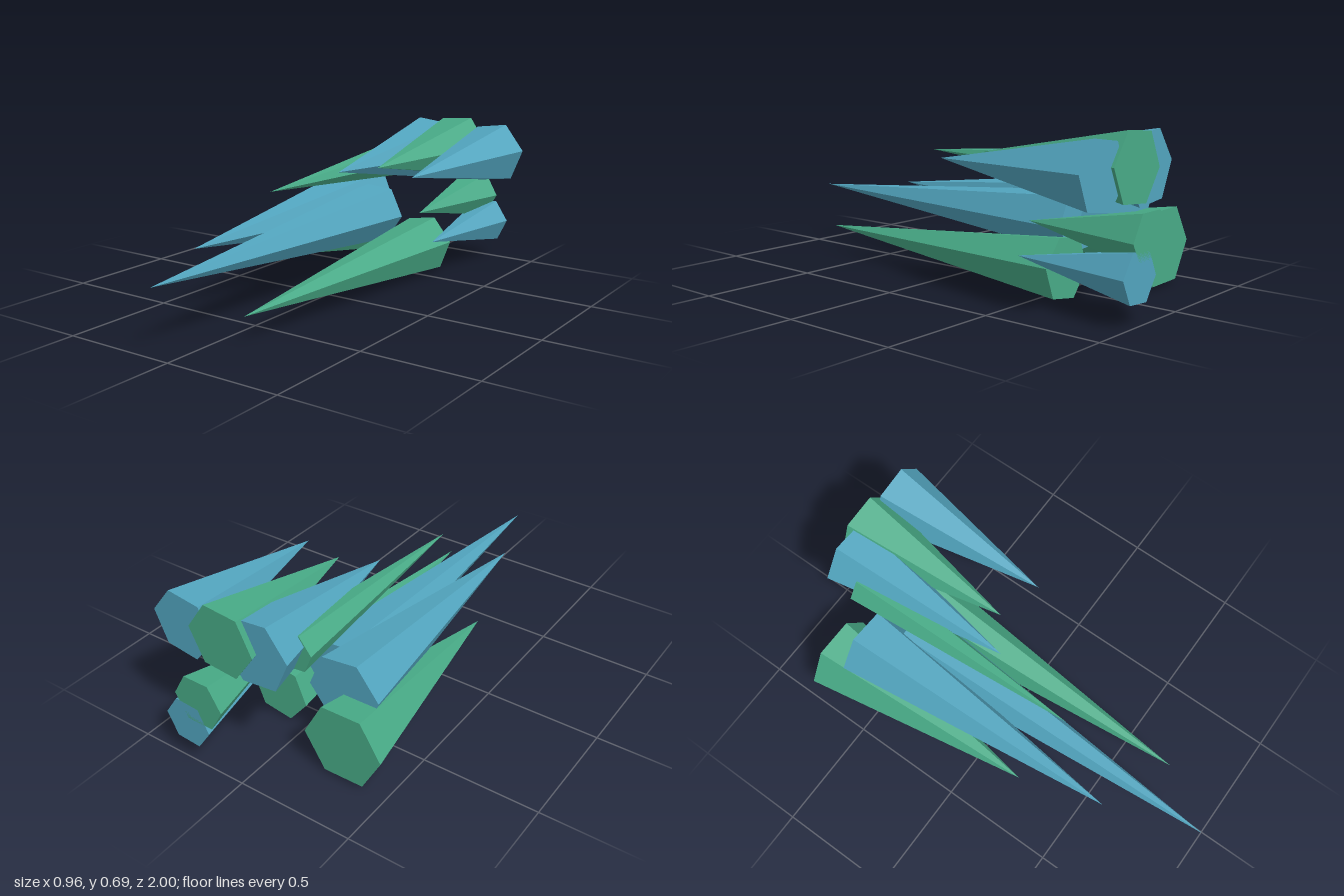
import * as THREE from 'three';

// One six-sided spike: tip towards +z, flat base behind, turned about its axis by turn degrees.
function spikeGeometry(radius, length, turn) {
  const g = new THREE.ConeGeometry(radius, length, 6, 1);
  g.rotateX(Math.PI / 2);
  g.rotateZ(THREE.MathUtils.degToRad(turn - 30));
  return g;
}

export function createModel() {
  const model = new THREE.Group();
  model.name = 'spikeCluster';

  const blue = new THREE.MeshStandardMaterial({ color: 0x52a5bf, flatShading: true });
  blue.name = 'blue';
  const green = new THREE.MeshStandardMaterial({ color: 0x48ab87, flatShading: true });
  green.name = 'green';

  // name, material, x, y, radius, tip z, base z, turn of a corner from +x
  const spikes = [
    ['lowerRightSpike', green, -0.305, 0.168, 0.176, 0.23, -0.77, -1],
    ['middleRightSpike', blue, -0.225, 0.305, 0.163, 0.60, -0.645, 53],
    ['longestSpike', blue, -0.075, 0.272, 0.137, 1.00, -0.51, -4],
    ['lowerLongSpike', green, 0.135, 0.130, 0.136, 0.73, -0.60, 9],
    ['lowerLeftSpike', blue, 0.255, 0.180, 0.108, -0.455, -1.00, 4],
    ['middleLeftSpike', green, 0.187, 0.307, 0.116, -0.455, -1.00, 0],
    ['smallUpperSpike', green, -0.075, 0.502, 0.089, 0.30, -0.75, 53],
    ['upperRightSpike', blue, 0.000, 0.532, 0.157, -0.08, -0.875, 54],
    ['upperMiddleSpike', green, 0.135, 0.550, 0.154, -0.18, -0.905, 5],
    ['upperLeftSpike', blue, 0.335, 0.538, 0.147, -0.13, -0.89, 8],
  ];

  for (const [name, material, x, y, radius, tip, base, turn] of spikes) {
    const mesh = new THREE.Mesh(spikeGeometry(radius, tip - base, turn), material);
    mesh.name = name;
    mesh.position.set(x, y, (tip + base) / 2);
    model.add(mesh);
  }
  return model;
}
